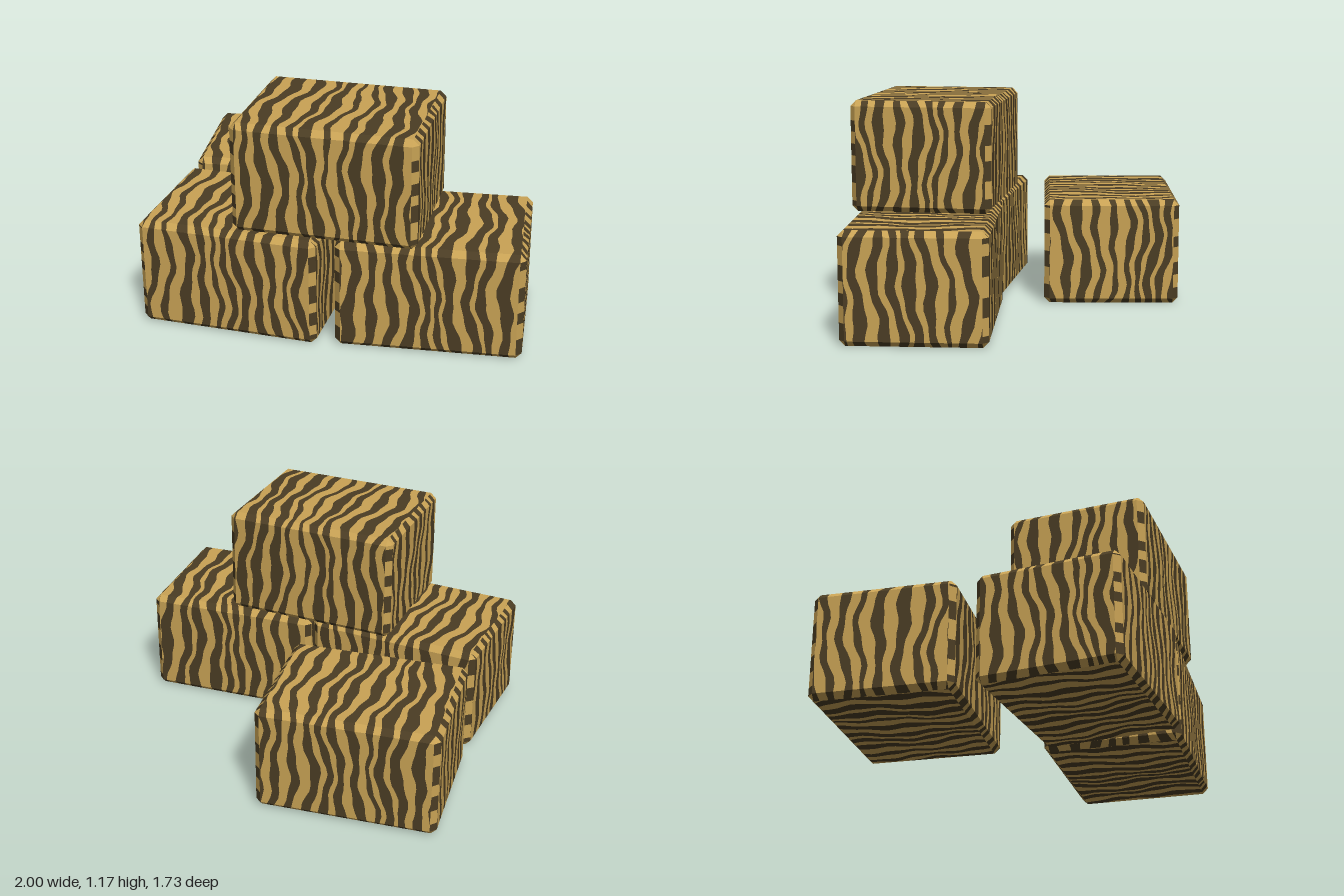
import * as THREE from 'three';

const W = 0.955, H = 0.584, D = 0.745, C = 0.03; // block size and bevel
const hx = W / 2, hy = H / 2, hz = D / 2;

// Small seeded generator
function seeded(seed) {
  let s = seed;
  return () => {
    s = (s * 16807) % 2147483647;
    return s / 2147483647;
  };
}

// Cut a polyline of [a, b] points into short steps, with running length t
function subdivide(points, step) {
  const out = [];
  let t = 0;
  for (let i = 0; i + 1 < points.length; i++) {
    const [p, q] = [points[i], points[i + 1]];
    const len = Math.hypot(q[0] - p[0], q[1] - p[1]);
    const n = Math.max(1, Math.round(len / step));
    for (let k = i ? 1 : 0; k <= n; k++) {
      const f = k / n;
      out.push({ a: p[0] + (q[0] - p[0]) * f, b: p[1] + (q[1] - p[1]) * f, t: t + len * f });
    }
    t += len;
  }
  return out;
}

// Add a triangle facing away from the block centre
function addTriangle(list, p, q, r) {
  const n = q.clone().sub(p).cross(r.clone().sub(p));
  if (n.length() < 1e-8) return;
  const tri = n.dot(p) < 0 ? [p, r, q] : [p, q, r];
  tri.forEach((v) => list.push(v.x, v.y, v.z));
}

// Panel of alternating wavy stripes: u runs across them, the path along them
function addStripes(lists, rand, half, path, map, size = 0.042, wave = 1) {
  const ph = [rand(), rand(), rand()].map((v) => v * 6.28);
  const edge = (u, t) => {
    const shift = 0.026 * Math.sin(6 * t + 5 * u + ph[0])
      + 0.016 * Math.sin(15 * t - 11 * u + ph[1])
      + 0.006 * Math.sin(37 * t + 23 * u + ph[2]);
    return THREE.MathUtils.clamp(u + wave * shift, -half, half);
  };
  let u = -half - 0.1;
  for (let i = 0; u < half + 0.1; i++) {
    const next = u + size * (0.6 + 0.8 * rand());
    const list = lists[i % 2];
    for (let k = 0; k + 1 < path.length; k++) {
      const s = path[k], e = path[k + 1];
      const p = map(edge(u, s.t), s.a, s.b), q = map(edge(next, s.t), s.a, s.b);
      const r = map(edge(next, e.t), e.a, e.b), w = map(edge(u, e.t), e.a, e.b);
      addTriangle(list, p, q, r);
      addTriangle(list, p, r, w);
    }
    u = next;
  }
}

function createBlock(name, seed, materials) {
  const rand = seeded(seed);
  const lists = [[], []];
  const vec = (x, y, z) => new THREE.Vector3(x, y, z);

  // Bottom, front, top and back with the bevels between them
  const ring = [
    [hz - C, -hy], [hz, -hy + C], [hz, hy - C], [hz - C, hy],
    [-hz + C, hy], [-hz, hy - C], [-hz, -hy + C], [-hz + C, -hy], [hz - C, -hy],
  ];
  addStripes(lists, rand, hx - C, subdivide(ring, 0.04), (u, a, b) => vec(u, b, a));

  for (const sx of [-1, 1]) {
    // End face with its top and bottom bevels
    const end = [[hx - C, -hy], [hx, -hy + C], [hx, hy - C], [hx - C, hy]];
    addStripes(lists, rand, hz - C, subdivide(end, 0.04), (u, a, b) => vec(sx * a, b, u));

    for (const sz of [-1, 1]) {
      // Upright bevel
      const bevel = [[hx - C, hz], [hx, hz - C]];
      addStripes(lists, rand, hy - C, subdivide(bevel, 0.05),
        (u, a, b) => vec(sx * a, u, sz * b), 0.08, 0);
      // Corner facets
      for (const sy of [-1, 1]) {
        addTriangle(lists[0],
          vec(sx * (hx - C), sy * (hy - C), sz * hz),
          vec(sx * hx, sy * (hy - C), sz * (hz - C)),
          vec(sx * (hx - C), sy * hy, sz * (hz - C)));
      }
    }
  }

  const block = new THREE.Group();
  block.name = name;
  ['paleGrain', 'darkGrain'].forEach((part, i) => {
    const geometry = new THREE.BufferGeometry();
    geometry.setAttribute('position', new THREE.Float32BufferAttribute(lists[i], 3));
    geometry.computeVertexNormals();
    const mesh = new THREE.Mesh(geometry, materials[i]);
    mesh.name = part;
    block.add(mesh);
  });
  return block;
}

export function createModel() {
  const pale = new THREE.MeshStandardMaterial({ color: 0xc9a355 });
  pale.name = 'pale wood';
  const dark = new THREE.MeshStandardMaterial({ color: 0x4b3d24 });
  dark.name = 'dark wood';

  const model = new THREE.Group();
  model.name = 'stackedBlocks';

  // name, x, base y, z, turn about y
  const layout = [
    ['backBlock', -0.495, 0, -0.465, 0.08],
    ['frontRightBlock', -0.495, 0, 0.455, -0.08],
    ['frontLeftBlock', 0.51, 0, 0.453, 0.037],
    ['topBlock', 0.005, H, 0.455, -0.05],
  ];
  layout.forEach(([name, x, y, z, turn], i) => {
    const block = createBlock(name, 4821 + 7919 * i, [pale, dark]);
    block.position.set(x, y + hy, z);
    block.rotation.y = turn;
    model.add(block);
  });
  return model;
}
